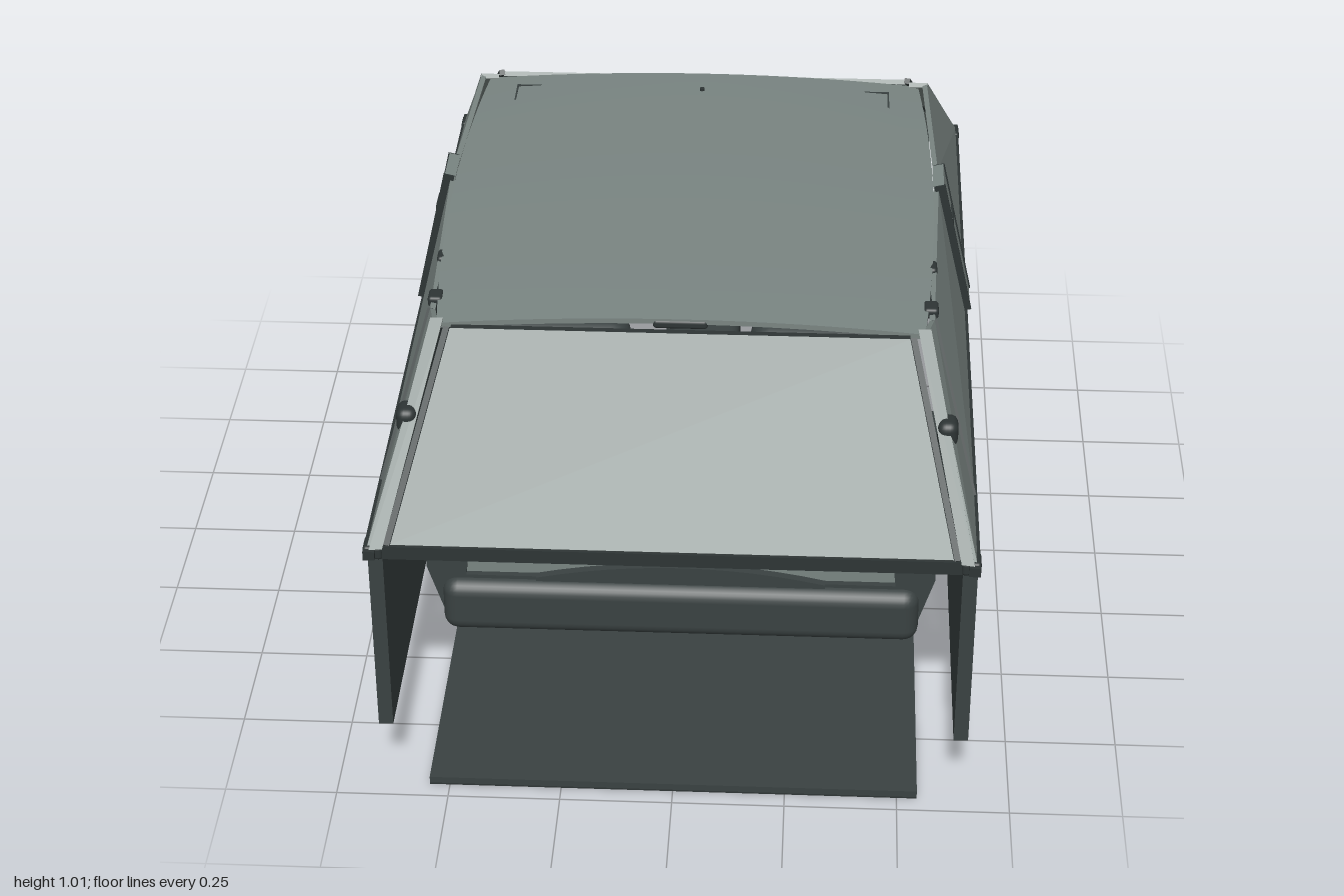
import * as THREE from 'three';
import { ConvexGeometry } from 'three/addons/geometries/ConvexGeometry.js';
import { RoundedBoxGeometry } from 'three/addons/geometries/RoundedBoxGeometry.js';

export function createModel() {
  const model = new THREE.Group();
  const mat = (name, color) => Object.assign(new THREE.MeshStandardMaterial({ color }), { name });
  const shell = mat('pale shell', 0x7a8582);
  const panel = mat('dark panel', 0x3a4242);
  const trim = mat('black trim', 0x2e3535);
  const metal = mat('rail metal', 0x68726f);

  const add = (name, geo, m, x = 0, y = 0, z = 0) => {
    const mesh = new THREE.Mesh(geo, m);
    mesh.name = name;
    mesh.position.set(x, y, z);
    model.add(mesh);
    return mesh;
  };
  // box given by its limits, optionally rounded
  const box = (name, m, x0, x1, y0, y1, z0, z1, r = 0) => {
    const s = [Math.abs(x1 - x0), y1 - y0, z1 - z0];
    const geo = r ? new RoundedBoxGeometry(...s, 3, r) : new THREE.BoxGeometry(...s);
    return add(name, geo, m, (x0 + x1) / 2, (y0 + y1) / 2, (z0 + z1) / 2);
  };
  // plate with the given corners and thickness
  const slab = (name, m, corners, t = 0.012) => {
    const p = corners.map(c => new THREE.Vector3(...c));
    const n = p[1].clone().sub(p[0]).cross(p[2].clone().sub(p[0])).normalize().multiplyScalar(t / 2);
    return add(name, new ConvexGeometry(p.flatMap(v => [v.clone().add(n), v.clone().sub(n)])), m);
  };
  // straight bar between two points
  const bar = (name, m, a, b, w, h = w) => {
    const A = new THREE.Vector3(...a), B = new THREE.Vector3(...b);
    const mid = A.clone().add(B).multiplyScalar(0.5);
    const mesh = add(name, new THREE.BoxGeometry(w, h, A.distanceTo(B)), m, mid.x, mid.y, mid.z);
    mesh.lookAt(B);
    return mesh;
  };

  // floor plate and mats
  box('floor', panel, -0.545, 0.545, 0.004, 0.02, -0.96, 0.96);
  box('floorBase', trim, -0.545, 0.545, 0, 0.006, -0.96, 0.96);
  for (const s of [-1, 1]) {
    box('frontMat', panel, s * 0.14, s * 0.49, 0.02, 0.027, -0.62, -0.11);
    box('rearMat', panel, s * 0.14, s * 0.49, 0.02, 0.027, 0.14, 0.38);
  }

  // crowned roof
  const roof = new THREE.BoxGeometry(1.12, 0.012, 1.175, 20, 1, 16);
  const rp = roof.attributes.position;
  for (let i = 0; i < rp.count; i++) {
    const x = rp.getX(i), z = rp.getZ(i), u = x / 0.56, v = z / 0.59;
    rp.setX(i, x * (1 - 0.05 * v * v));
    rp.setY(i, rp.getY(i) + 1.009 - 0.024 * u * u - 0.012 * v * v);
  }
  roof.computeVertexNormals();
  add('roof', roof, shell, 0, 0, -0.01);
  add('roofDot', new THREE.CylinderGeometry(0.006, 0.006, 0.008, 10), trim, 0, 1.009, -0.5);
  for (const s of [-1, 1]) {
    box('roofMark', panel, s * 0.37, s * 0.46, 0.98, 0.992, -0.54, -0.536);
    box('roofMark', panel, s * 0.456, s * 0.46, 0.98, 0.991, -0.54, -0.4);
  }

  // sloping end glasses, sills and header strips
  for (const e of [-1, 1]) {
    const glass = [[-0.6, 0.665, e * 0.975], [0.6, 0.665, e * 0.975], [0.5, 0.985, e * 0.61], [-0.5, 0.985, e * 0.61]];
    slab(e > 0 ? 'frontGlass' : 'rearGlass', shell, glass);
    box('endSill', trim, -0.62, 0.62, 0.636, 0.668, e * 0.97 - 0.015, e * 0.97 + 0.015);
    box('headerStrip', trim, -0.5, 0.5, 0.966, 0.978, e * 0.595 - 0.015, e * 0.595 + 0.015);
    for (const s of [-1, 1]) {
      bar('glassEdge', panel, [s * 0.605, 0.665, e * 0.978], [s * 0.505, 0.988, e * 0.61], 0.014);
      box('cornerCap', trim, s * 0.615, s * 0.657, 0.635, 0.668, e * 0.965 - 0.025, e * 0.965 + 0.025, 0.008);
    }
  }
  box('roofConsole', trim, -0.06, 0.06, 0.978, 1.0, 0.5, 0.58, 0.008);

  // wipers lying on the rear glass
  const onGlass = (x, z) => [x, 0.69 + (z + 0.975) * 0.877, z - 0.006];
  for (const x of [-0.37, 0.2]) {
    bar('wiperArm', trim, onGlass(x, -0.98), onGlass(x + 0.265, -0.84), 0.014);
    bar('wiperBlade', trim, onGlass(x + 0.21, -0.78), onGlass(x + 0.335, -0.91), 0.02);
  }

  // both flanks
  for (const s of [-1, 1]) {
    box('sidePanel', panel, s * 0.62, s * 0.652, 0.165, 0.645, -0.98, 0.955);
    box('beltRail', trim, s * 0.63, s * 0.655, 0.642, 0.664, -1, 1);
    const low = z => [s * 0.643, 0.66, z], top = z => [s * 0.567, 0.985, z];
    slab('sideGlass', shell, [low(0.73), low(-0.055), top(-0.055), [s * 0.548, 0.975, 0.51]]);
    slab('quarterGlass', shell, [low(-0.155), low(-0.985), [s * 0.548, 0.99, -0.59], top(-0.155)]);
    slab('ventGlass', shell, [low(0.99), low(0.73), [s * 0.548, 0.975, 0.51], [s * 0.535, 0.992, 0.58]]);
    slab('frontPillar', shell, [[s * 0.615, 0.66, 0.985], [s * 0.643, 0.66, 0.99], [s * 0.545, 0.992, 0.58], [s * 0.517, 0.992, 0.58]]);
    slab('rearPillar', shell, [[s * 0.612, 0.66, -0.985], [s * 0.645, 0.66, -0.985], [s * 0.555, 0.99, -0.585], [s * 0.51, 0.99, -0.585]]);
    bar('ventSeam', panel, [s * 0.645, 0.665, 0.73], [s * 0.552, 0.975, 0.51], 0.012);
    slab('middlePillar', shell, [[s * 0.648, 0.665, -0.055], [s * 0.648, 0.665, -0.155], [s * 0.572, 1, -0.155], [s * 0.572, 1, -0.055]], 0.026);
    for (const z of [-0.055, -0.155])
      bar('pillarSeam', trim, [s * 0.651, 0.665, z], [s * 0.575, 1, z], 0.008, 0.026);
    box('pillarLatch', trim, s * 0.595, s * 0.613, 0.885, 0.905, -0.14, -0.07, 0.004);
    box('ventKnob', trim, s * 0.56, s * 0.605, 0.81, 0.87, 0.71, 0.77, 0.018);
    // grab handle under the roof edge
    for (const z of [0.29, 0.465]) box('handleFoot', trim, s * 0.53, s * 0.563, 0.962, 0.988, z - 0.022, z + 0.022, 0.008);
    bar('grabHandle', trim, [s * 0.55, 0.97, 0.29], [s * 0.55, 0.97, 0.465], 0.012);
    // fittings on the inner doors
    box('doorPod', panel, s * 0.535, s * 0.605, 0.105, 0.21, -0.03, 0.1, 0.018);
    box('armrest', panel, s * 0.57, s * 0.62, 0.225, 0.285, -0.2, 0.2, 0.015);
    box('doorBracket', trim, s * 0.585, s * 0.62, 0.34, 0.38, 0.3, 0.4, 0.01);
    box('doorBar', trim, s * 0.57, s * 0.62, 0.42, 0.46, 0.2, 0.45, 0.01);
    box('doorHandle', trim, s * 0.585, s * 0.62, 0.5, 0.58, -0.3, -0.15, 0.012);
  }

  // bulkhead frame with pale insert
  const frame = new THREE.Shape([[-0.53, 0.18], [0.53, 0.18], [0.58, 0.34], [0.57, 0.64], [-0.57, 0.64], [-0.58, 0.34]].map(p => new THREE.Vector2(...p)));
  frame.holes.push(new THREE.Path([[-0.49, 0.32], [-0.455, 0.635], [0.455, 0.635], [0.49, 0.32]].map(p => new THREE.Vector2(...p))));
  add('bulkheadFrame', new THREE.ExtrudeGeometry(frame, { depth: 0.03, bevelEnabled: false }), panel, 0, 0, 0.57);
  slab('bulkheadInsert', shell, [[-0.5, 0.31, 0.58], [0.5, 0.31, 0.58], [0.46, 0.638, 0.58], [-0.46, 0.638, 0.58]]);
  box('bulkheadLip', panel, -0.545, 0.545, 0.175, 0.312, 0.53, 0.63, 0.035);
  const arch = new THREE.Shape();
  arch.moveTo(-0.33, 0.3);
  arch.lineTo(0.33, 0.3);
  arch.lineTo(0.33, 0.32);
  arch.quadraticCurveTo(0, 0.395, -0.33, 0.32);
  add('bulkheadArch', new THREE.ExtrudeGeometry(arch, { depth: 0.03, bevelEnabled: false }), panel, 0, 0, 0.575);

  // dashboard swept across the cabin
  const dash = new THREE.Shape();
  dash.moveTo(-0.95, 0.635);
  dash.lineTo(-0.9, 0.5);
  dash.quadraticCurveTo(-0.86, 0.4, -0.74, 0.4);
  dash.quadraticCurveTo(-0.6, 0.44, -0.62, 0.56);
  dash.quadraticCurveTo(-0.64, 0.65, -0.74, 0.645);
  const dashGeo = new THREE.ExtrudeGeometry(dash, { depth: 1.14, bevelEnabled: false, curveSegments: 10 });
  dashGeo.rotateY(-Math.PI / 2);
  add('dashboard', dashGeo, panel, 0.57, 0, 0);

  // steering wheel and column
  add('steeringWheel', new THREE.TorusGeometry(0.12, 0.013, 8, 28), trim, -0.31, 0.56, -0.46).rotation.x = -0.45;
  bar('steeringSpoke', trim, [-0.42, 0.56, -0.46], [-0.2, 0.56, -0.46], 0.03, 0.015);
  bar('steeringColumn', trim, [-0.31, 0.56, -0.46], [-0.31, 0.5, -0.65], 0.045);

  // centre console
  box('console', panel, -0.095, 0.095, 0.103, 0.3, -0.71, -0.07, 0.03);
  box('consoleInset', trim, -0.04, 0.04, 0.13, 0.18, -0.1, -0.064);

  // seats on rails
  for (const s of [-1, 1]) {
    box('seatCushion', panel, s * 0.13, s * 0.5, 0.18, 0.3, -0.48, 0.06, 0.045);
    const back = box('seatBack', panel, s * 0.14, s * 0.49, 0.24, 0.72, 0.03, 0.14, 0.045);
    back.rotation.x = 0.15;
    for (const x of [0.152, 0.482]) {
      box('seatRail', metal, s * (x - 0.011), s * (x + 0.011), 0.056, 0.076, -0.46, 0.05);
      box('seatFoot', trim, s * (x - 0.02), s * (x + 0.02), 0.073, 0.108, -0.35, -0.25);
      box('seatPost', trim, s * (x - 0.012), s * (x + 0.012), 0.1, 0.2, -0.33, -0.27);
    }
  }
  return model;
}
